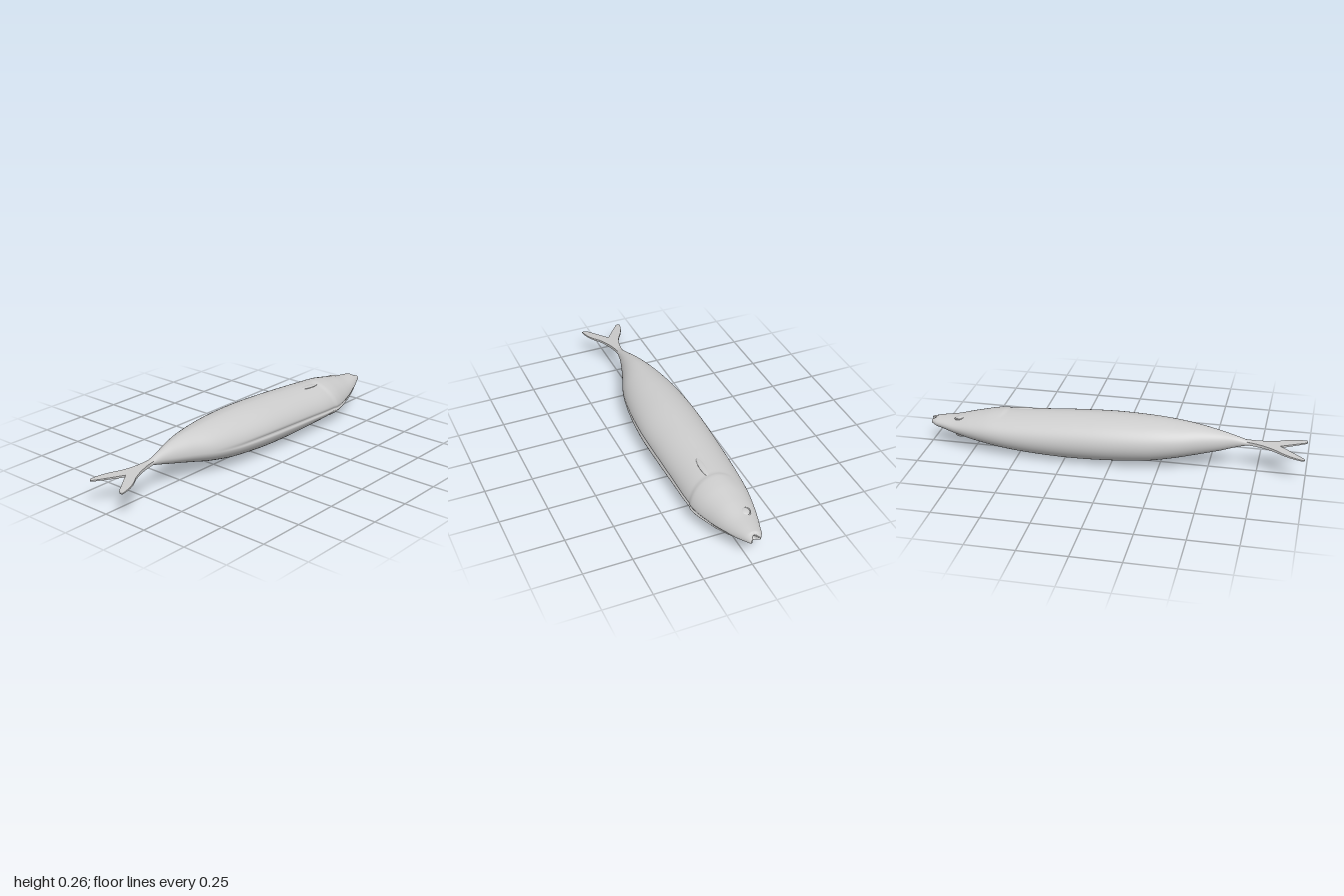
import * as THREE from 'three';

const material = new THREE.MeshStandardMaterial({ color: 0xcccccc, roughness: 0.8, side: THREE.DoubleSide });
const bump = (v, centre, width) => Math.exp(-(((v - centre) / width) ** 2));

// Body stations: x, back z, belly z, lowest y, highest y, belly seam y
const stations = [
  [-0.76, -0.018, 0.018, 0.152, 0.164, 0.158],
  [-0.70, -0.022, 0.016, 0.148, 0.175, 0.163],
  [-0.64, -0.032, 0.022, 0.133, 0.195, 0.162],
  [-0.56, -0.060, 0.042, 0.110, 0.218, 0.155],
  [-0.46, -0.092, 0.075, 0.085, 0.238, 0.146],
  [-0.34, -0.125, 0.118, 0.055, 0.250, 0.136],
  [-0.20, -0.150, 0.145, 0.028, 0.258, 0.130],
  [0.00, -0.165, 0.163, 0.010, 0.259, 0.127],
  [0.20, -0.165, 0.160, 0.003, 0.251, 0.117],
  [0.40, -0.159, 0.153, 0.009, 0.237, 0.105],
  [0.55, -0.150, 0.148, 0.021, 0.226, 0.096],
  [0.66, -0.138, 0.135, 0.037, 0.217, 0.090],
  [0.76, -0.120, 0.106, 0.058, 0.198, 0.090],
  [0.85, -0.098, 0.074, 0.082, 0.176, 0.102],
  [0.92, -0.076, 0.045, 0.100, 0.167, 0.118],
  [0.97, -0.060, 0.023, 0.112, 0.160, 0.130],
  [0.995, -0.046, 0.010, 0.122, 0.152, 0.136],
  [0.985, -0.036, 0.000, 0.128, 0.146, 0.137],
  [0.950, -0.022, -0.014, 0.135, 0.139, 0.137],
];

// Lofted body with belly seam, gill covers and a slightly open mouth
function bodyGeometry() {
  const plan = new THREE.CatmullRomCurve3(stations.map(s => new THREE.Vector3(s[0], s[1], s[2])));
  const side = new THREE.CatmullRomCurve3(stations.map(s => new THREE.Vector3(s[3], s[4], s[5])));
  const rings = 180, sides = 112, points = [], index = [];
  for (let i = 0; i <= rings; i++) {
    const u = i / rings;
    const { x, y: back, z: belly } = plan.getPoint(u);
    const { x: low, y: high, z: seam } = side.getPoint(u);
    const middle = (back + belly) / 2, half = (belly - back) / 2;
    const mouth = THREE.MathUtils.smoothstep(x, 0.945, 0.995);
    const seamDepth = 0.009 * THREE.MathUtils.smoothstep(x, -0.4, 0.05)
      * (1 - THREE.MathUtils.smoothstep(x, 0.82, 0.93));
    for (let j = 0; j < sides; j++) {
      let a = (j / sides) * Math.PI * 2;
      if (a > Math.PI) a -= Math.PI * 2;
      const c = Math.cos(a), s = Math.sin(a);
      // Gill cover: a raised rear edge, curved back at mid height
      const edge = 0.57 + 0.05 * (c - 0.2) ** 2;
      const gill = 0.006 * THREE.MathUtils.smoothstep(x, edge - 0.01, edge + 0.012)
        * (1 - THREE.MathUtils.smoothstep(x, edge, edge + 0.14)) * (c > -0.6 ? 1 - bump(c, -0.6, 0.3) : 0);
      const axis = THREE.MathUtils.lerp((low + high) / 2, seam, 0.5 + c / 2);
      const reach = (s > 0 ? high - axis : axis - low) * (1 - 0.1 * Math.max(c, 0));
      points.push(
        x - mouth * (0.028 * s ** 4 + 0.012 * Math.max(-c, 0)),
        axis + s * (reach + gill),
        middle + c * (half + gill) - seamDepth * bump(a, 0, 0.07),
      );
      if (i < rings) {
        const k = (j + 1) % sides, p = i * sides, q = p + sides;
        index.push(p + j, q + j, q + k, p + j, q + k, p + k);
      }
    }
  }
  const geometry = new THREE.BufferGeometry();
  geometry.setAttribute('position', new THREE.Float32BufferAttribute(points, 3));
  geometry.setIndex(index);
  geometry.computeVertexNormals();
  return geometry;
}

// Forked tail: a flat outline, thinned and lowered toward its tips
function tailGeometry() {
  const shape = new THREE.Shape();
  shape.moveTo(-0.69, -0.018);
  shape.quadraticCurveTo(-0.78, -0.02, -0.85, -0.058);
  shape.quadraticCurveTo(-0.92, -0.105, -0.985, -0.113);
  shape.quadraticCurveTo(-1.005, -0.103, -0.985, -0.088);
  shape.quadraticCurveTo(-0.93, -0.045, -0.865, 0.001);
  shape.quadraticCurveTo(-0.93, 0.045, -0.985, 0.082);
  shape.quadraticCurveTo(-1.005, 0.1, -0.996, 0.115);
  shape.quadraticCurveTo(-0.92, 0.108, -0.86, 0.062);
  shape.quadraticCurveTo(-0.78, 0.02, -0.69, 0.014);
  shape.closePath();
  const geometry = new THREE.ExtrudeGeometry(shape, { depth: 1, bevelEnabled: false, curveSegments: 10 });
  geometry.rotateX(Math.PI / 2);
  const p = geometry.attributes.position;
  for (let i = 0; i < p.count; i++) {
    const t = (-0.69 - p.getX(i)) / 0.31;
    const thickness = 0.018 - 0.012 * t;
    p.setY(i, 0.163 - 0.022 * t + (p.getY(i) + 0.5) * thickness);
  }
  geometry.computeVertexNormals();
  return geometry;
}

export function createModel() {
  const group = new THREE.Group();
  const add = (name, geometry) => {
    const mesh = new THREE.Mesh(geometry, material);
    mesh.name = name;
    group.add(mesh);
    return mesh;
  };
  add('body', bodyGeometry());
  add('tailFin', tailGeometry());

  // Eyes on the upper and lower flanks, each in a low socket ring
  for (const [name, y, tilt] of [['upperEye', 0.173, -0.2], ['lowerEye', 0.077, 0.2]]) {
    const eye = add(name, new THREE.SphereGeometry(0.026, 24, 16));
    eye.scale.set(1, 0.4, 0.9);
    eye.position.set(0.825, y, -0.04);
    eye.rotation.z = tilt;
    const socket = add(name + 'Socket', new THREE.TorusGeometry(0.026, 0.004, 8, 32).rotateX(Math.PI / 2));
    socket.position.copy(eye.position);
    socket.rotation.z = tilt;
  }

  // Pectoral fins folded flat against both flanks
  for (const [name, y, tilt] of [['upperPectoralFin', 0.222, -0.07], ['lowerPectoralFin', 0.022, 0.08]]) {
    const fin = add(name, new THREE.SphereGeometry(1, 24, 12));
    fin.scale.set(0.07, 0.007, 0.018);
    fin.position.set(0.5, y, 0.03);
    fin.rotation.z = tilt;
  }
  return group;
}
